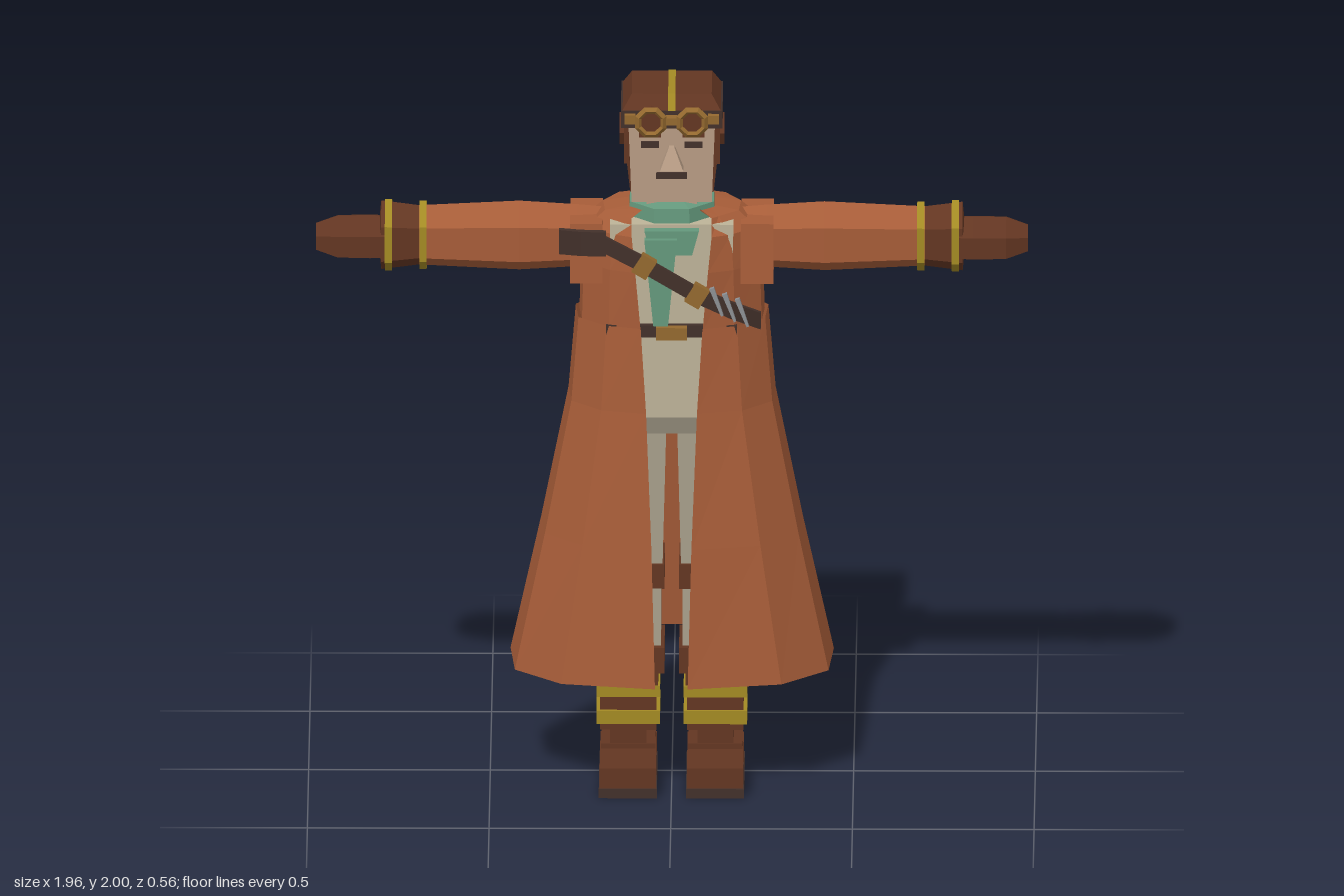
import * as THREE from 'three';

const paint = (name, color, side = THREE.FrontSide) => {
  const m = new THREE.MeshStandardMaterial({ color, flatShading: true, side });
  m.name = name;
  return m;
};

export function createModel() {
  const coat = paint('coat rust', 0xa65c38, THREE.DoubleSide);
  const leather = paint('brown leather', 0x633622);
  const dark = paint('dark leather', 0x42302a, THREE.DoubleSide);
  const brass = paint('brass', 0xa38a24);
  const gold = paint('goggle bronze', 0x94692f);
  const teal = paint('scarf teal', 0x64987c);
  const skin = paint('skin', 0xb89c84);
  const shirt = paint('shirt cream', 0xbdb398);
  const trousers = paint('trouser cream', 0xa9a08c);
  const steel = paint('steel', 0x8d9094);

  const model = new THREE.Group();
  model.name = 'coatedTraveller';

  const add = (name, geo, mat, pos = [0, 0, 0], parent = model) => {
    const m = new THREE.Mesh(geo, mat);
    m.name = name;
    m.position.set(...pos);
    parent.add(m);
    return m;
  };

  // Box whose bottom face can be narrowed or widened
  const block = (name, mat, size, pos, sx = 1, sz = 1, parent = model) => {
    const g = new THREE.BoxGeometry(...size);
    const p = g.attributes.position;
    for (let i = 0; i < p.count; i++) {
      if (p.getY(i) < 0) p.setXYZ(i, p.getX(i) * sx, p.getY(i), p.getZ(i) * sz);
    }
    return add(name, g, mat, pos, parent);
  };

  // Skin between consecutive cross-sections
  const loft = (rings, closed) => {
    const v = [];
    for (let r = 0; r < rings.length - 1; r++) {
      const a = rings[r], b = rings[r + 1], n = a.length;
      for (let i = 0; i < (closed ? n : n - 1); i++) {
        const j = (i + 1) % n;
        v.push(...a[i], ...b[i], ...b[j], ...a[i], ...b[j], ...a[j]);
      }
    }
    const g = new THREE.BufferGeometry();
    g.setAttribute('position', new THREE.Float32BufferAttribute(v, 3));
    g.computeVertexNormals();
    return g;
  };

  // Coat: horizontal sections, open at the front
  const section = ([y, gap, hw, zf, zb]) => {
    const half = [[gap, zf], [0.68 * hw, 0.84 * zf], [0.97 * hw, 0.4 * zf],
      [hw, 0.28 * zb], [0.77 * hw, 0.82 * zb], [0.45 * hw, zb]];
    return [...half.map(([x, z]) => [x, y, z]),
      ...half.reverse().map(([x, z]) => [-x, y, z])];
  };
  add('coatSkirt', loft([
    [0.33, 0.045, 0.445, 0.28, -0.28], [0.72, 0.055, 0.36, 0.235, -0.23],
    [1.1, 0.07, 0.285, 0.19, -0.185], [1.34, 0.085, 0.265, 0.17, -0.165],
  ].map(section)), coat);
  add('coatBody', loft([
    [1.33, 0.085, 0.255, 0.165, -0.165], [1.5, 0.1, 0.25, 0.162, -0.17],
    [1.6, 0.11, 0.24, 0.15, -0.16], [1.645, 0.11, 0.19, 0.12, -0.13],
    [1.66, 0.08, 0.1, 0.09, -0.1],
  ].map(section)), coat);

  // Shirt, hips and belt
  block('shirt', shirt, [0.34, 0.56, 0.24], [0, 1.35, 0.01], 0.95, 1);
  block('hips', trousers, [0.32, 0.06, 0.24], [0, 1.045, 0.01], 0.95, 0.8);
  block('belt', dark, [0.36, 0.035, 0.27], [0, 1.325, 0.01]);
  block('beltBuckle', gold, [0.085, 0.035, 0.03], [0, 1.325, 0.155]);

  // Legs and boots
  for (const s of [-1, 1]) {
    const leg = new THREE.Group();
    leg.name = s > 0 ? 'leftLeg' : 'rightLeg';
    leg.position.x = 0.12 * s;
    model.add(leg);
    const part = (name, mat, w, y0, y1, z0, z1, sx = 1, sz = 1) =>
      block(name, mat, [w, y1 - y0, z1 - z0], [0, (y0 + y1) / 2, (z0 + z1) / 2], sx, sz, leg);
    part('thigh', trousers, 0.21, 0.62, 1.03, -0.1, 0.1, 0.9, 0.85);
    part('shin', trousers, 0.18, 0.38, 0.62, -0.08, 0.08);
    part('kneeStrap', leather, 0.2, 0.56, 0.63, -0.095, 0.095);
    part('bootTop', leather, 0.2, 0.315, 0.39, -0.1, 0.1);
    part('bootShaft', leather, 0.155, 0.145, 0.33, -0.085, 0.08);
    part('bootCollar', leather, 0.165, 0.275, 0.315, -0.09, 0.085);
    part('upperBand', brass, 0.175, 0.243, 0.275, -0.095, 0.09);
    part('lowerBand', brass, 0.175, 0.165, 0.203, -0.095, 0.09);
    part('ankle', leather, 0.1, 0.085, 0.145, -0.08, 0.06);
    part('foot', leather, 0.155, 0.025, 0.085, -0.085, 0.235);
    part('heelCuff', leather, 0.15, 0.08, 0.1, -0.085, 0.065);
    part('sole', dark, 0.16, 0, 0.027, -0.088, 0.24);
  }

  // Arms: six-sided lathes laid along x
  const sleeveLike = (profile) => new THREE.LatheGeometry(
    profile.map(([x, r]) => new THREE.Vector2(r, x)), 6, Math.PI / 2).rotateZ(-Math.PI / 2);
  for (const s of [-1, 1]) {
    const arm = new THREE.Group();
    arm.name = s > 0 ? 'leftArm' : 'rightArm';
    arm.position.y = 1.555;
    arm.rotation.y = s > 0 ? 0 : Math.PI;
    model.add(arm);
    add('sleeve', sleeveLike([[0.15, 0.08], [0.26, 0.09], [0.42, 0.1], [0.7, 0.086], [0.7, 0]]), coat, [0, 0, 0], arm);
    block('shoulder', coat, [0.09, 0.17, 0.22], [0.235, -0.015, 0], 1, 1.1, arm);
    add('gauntlet', sleeveLike([[0.68, 0], [0.68, 0.084], [0.8, 0.1], [0.81, 0]]), leather, [0, 0, 0], arm);
    for (const [x, r] of [[0.685, 0.1], [0.78, 0.104]]) {
      add('cuffRing', sleeveLike([[x - 0.01, 0.07], [x - 0.01, r], [x + 0.01, r], [x + 0.01, 0.07]]), brass, [0, 0, 0], arm);
    }
    const hand = add('glove', sleeveLike([[0.79, 0.06], [0.83, 0.062], [0.92, 0.06], [0.98, 0.038], [0.98, 0]]), leather, [0, -0.005, 0], arm);
    hand.scale.z = 1.8;
  }

  // Neck and scarf
  block('neck', skin, [0.14, 0.1, 0.16], [0, 1.66, 0]);
  add('scarf', new THREE.LatheGeometry([[0.09, 1.6], [0.13, 1.615], [0.125, 1.67], [0.085, 1.68]]
    .map((p) => new THREE.Vector2(...p)), 8, Math.PI / 8), teal);
  block('scarfFold', teal, [0.15, 0.07, 0.06], [0, 1.585, 0.13], 0.75, 1);
  block('scarfTail', teal, [0.09, 0.25, 0.025], [-0.03, 1.475, 0.165], 0.45, 1);
  block('scarfKnot', teal, [0.05, 0.05, 0.07], [0, 1.67, -0.15], 0.6, 1);
  for (const s of [-1, 1]) {
    const end = block('scarfKnotEnd', teal, [0.03, 0.06, 0.02], [0.025 * s, 1.67, -0.185], 0.4, 1);
    end.rotation.z = -0.6 * s;
  }

  // Shoulder straps across chest and back
  const strap = (name, path, h, out) => add(name, loft(path.map(([x, y, z]) => [
    [x, y - h, z], [x, y + h, z], [x, y + h, z + out], [x, y - h, z + out]]), true), dark);
  strap('chestStrap', [[-0.2, 1.595, 0.165], [-0.08, 1.535, 0.18], [0.06, 1.45, 0.178],
    [0.16, 1.395, 0.155], [0.245, 1.345, 0.1]], 0.024, 0.016);
  strap('shoulderStrap', [[-0.31, 1.575, 0.1], [-0.25, 1.59, 0.16], [-0.18, 1.595, 0.18]], 0.035, 0.02);
  strap('backStrap', [[0.245, 1.345, -0.1], [0.2, 1.41, -0.165], [0.06, 1.47, -0.19],
    [-0.12, 1.51, -0.19], [-0.245, 1.54, -0.13]], 0.028, -0.016);
  for (const [x, y] of [[-0.075, 1.53], [0.07, 1.445]]) {
    block('strapBuckle', gold, [0.045, 0.06, 0.025], [x, y, 0.19]).rotation.z = -0.55;
  }
  for (const [x, y, z] of [[0.125, 1.425, 0.185], [0.16, 1.405, 0.175], [0.195, 1.385, 0.158]]) {
    block('strapTool', steel, [0.014, 0.085, 0.014], [x, y, z], 0.5, 1).rotation.z = 0.35;
  }

  // Head and helmet
  block('face', skin, [0.24, 0.25, 0.13], [0, 1.815, 0.05], 0.92, 0.95);
  block('helmetBack', leather, [0.28, 0.235, 0.155], [0, 1.805, -0.048], 0.82, 0.85);
  block('helmetBand', dark, [0.28, 0.05, 0.26], [0, 1.935, 0]);
  block('helmetCrown', leather, [0.22, 0.042, 0.2], [0, 1.979, 0], 1.24, 1.27);
  block('crownStrip', brass, [0.02, 0.042, 0.206], [0, 1.981, 0], 1, 1.27);
  block('backStrip', brass, [0.02, 0.08, 0.008], [0, 1.87, -0.125]);
  const plate = (name, mat, w, h, x, y) => block(name, mat, [w, h, 0.008], [x, y, 0.116]);
  plate('mouth', dark, 0.085, 0.018, 0, 1.768);
  block('nose', skin, [0.016, 0.06, 0.02], [0, 1.825, 0.125], 4, 3.6);
  for (const s of [-1, 1]) {
    plate('eye', dark, 0.05, 0.018, 0.06 * s, 1.858);
    plate('brow', leather, 0.06, 0.02, 0.06 * s, 1.89);
    block('sideburn', leather, [0.016, 0.13, 0.05], [0.124 * s, 1.85, 0.04]);
    add('earCap', new THREE.CylinderGeometry(0.045, 0.045, 0.025, 6).rotateZ(Math.PI / 2), leather, [0.132 * s, 1.865, -0.005]);
    // Goggles
    add('goggleRim', new THREE.TorusGeometry(0.036, 0.011, 4, 8).rotateZ(Math.PI / 8), gold, [0.057 * s, 1.938, 0.162]);
    add('goggleBarrel', new THREE.CylinderGeometry(0.036, 0.036, 0.04, 8).rotateX(Math.PI / 2), leather, [0.057 * s, 1.938, 0.145]);
    block('goggleSide', gold, [0.03, 0.025, 0.02], [0.115 * s, 1.94, 0.138]);
  }
  block('goggleBridge', gold, [0.03, 0.02, 0.03], [0, 1.94, 0.15]);

  return model;
}
